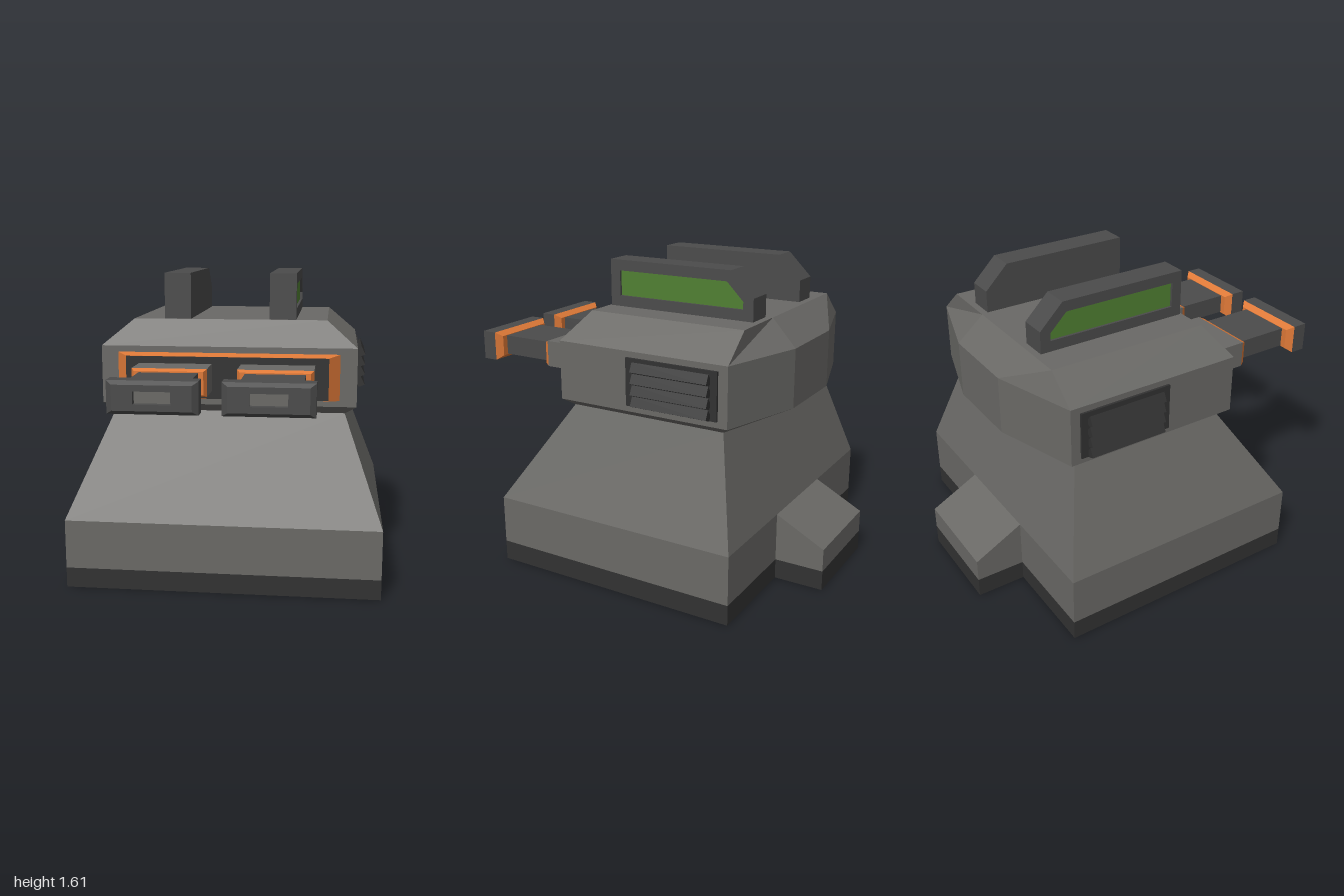
import * as THREE from 'three';

const material = (color) => new THREE.MeshStandardMaterial({ color, flatShading: true, roughness: 0.9 });

// Counter-clockwise rectangle loop
const rect = (x0, x1, y0, y1) => [[x0, y0], [x1, y0], [x1, y1], [x0, y1]];
const centred = (w, h, cx = 0, cy = 0) => rect(cx - w / 2, cx + w / 2, cy - h / 2, cy + h / 2);

// Closed solid through layers [height, loop]; loops lie in XY and stack along +z
function loft(layers) {
  const pos = [];
  const at = (layer, i) => {
    const p = layer[1][i % layer[1].length];
    return [p[0], p[1], layer[0]];
  };
  const n = layers[0][1].length;
  for (let k = 0; k + 1 < layers.length; k++) {
    const a = layers[k], b = layers[k + 1];
    for (let i = 0; i < n; i++) {
      pos.push(...at(a, i), ...at(a, i + 1), ...at(b, i + 1));
      pos.push(...at(a, i), ...at(b, i + 1), ...at(b, i));
    }
  }
  const first = layers[0], last = layers[layers.length - 1];
  for (let i = 1; i + 1 < n; i++) {
    pos.push(...at(first, 0), ...at(first, i + 1), ...at(first, i));
    pos.push(...at(last, 0), ...at(last, i), ...at(last, i + 1));
  }
  const geo = new THREE.BufferGeometry();
  geo.setAttribute('position', new THREE.Float32BufferAttribute(pos, 3));
  geo.computeVertexNormals();
  return geo;
}
const loftUp = (layers) => loft(layers).rotateX(-Math.PI / 2); // loops are (x, -z), stacked along y
const loftSide = (layers) => loft(layers).rotateY(Math.PI / 2); // loops are (-z, y), stacked along x

// Mirror a non-indexed geometry across x = 0, keeping faces outward
function mirrorX(geo) {
  const out = geo.clone().scale(-1, 1, 1);
  const p = out.attributes.position;
  const a = new THREE.Vector3(), b = new THREE.Vector3();
  for (let i = 0; i < p.count; i += 3) {
    a.fromBufferAttribute(p, i + 1);
    b.fromBufferAttribute(p, i + 2);
    p.setXYZ(i + 1, b.x, b.y, b.z);
    p.setXYZ(i + 2, a.x, a.y, a.z);
  }
  out.computeVertexNormals();
  return out;
}

export function createModel() {
  const model = new THREE.Group();
  model.name = 'gunTurret';
  const body = material(0x6a6966);
  const metal = material(0x4b4b4b);
  const dark = material(0x323232);
  const orange = material(0xe07a38);
  const green = material(0x508032);

  const add = (name, geo, mat, parent = model) => {
    const mesh = new THREE.Mesh(geo, mat);
    mesh.name = name;
    parent.add(mesh);
    return mesh;
  };
  const addPair = (name, geo, mat) => {
    add(name + 'Left', geo, mat);
    add(name + 'Right', mirrorX(geo), mat);
  };

  // Pedestal: dark plinth, straight wall, tapered upper part
  const foot = rect(-0.81, 0.81, -0.61, 0.74);
  add('plinth', loftUp([[0, foot], [0.105, foot]]), dark);
  add('pedestal', loftUp([[0.105, foot], [0.36, foot], [0.885, rect(-0.61, 0.61, -0.26, 0.6)]]), body);

  // Rear step with a sloped top
  add('rearStepPlinth', loftUp([[0, rect(-0.27, 0.27, 0.7, 1)], [0.105, rect(-0.27, 0.27, 0.7, 1)]]), dark);
  const step = [[-0.0 + 0.74, 0.105], [1, 0.105], [1, 0.225], [0.74, 0.36]];
  add('rearStep', loftSide([[-0.27, step], [0.27, step]]), body);

  // Head: six-cornered rings with a wedge-shaped back
  const headRing = (w, front, side, backW, back) => [
    [-w, -front], [w, -front], [w, side], [backW, back], [-backW, back], [-w, side],
  ];
  add('head', loftUp([
    [0.885, headRing(0.61, 0.26, 0.6, 0.2, 0.6)],
    [0.925, headRing(0.67, 0.3, 0.65, 0.22, 0.785)],
    [1.23, headRing(0.67, 0.3, 0.65, 0.22, 0.785)],
    [1.365, headRing(0.51, 0.21, 0.65, 0.2, 0.65)],
  ]), body);

  // Gun mount: orange bezel and dark face plate
  add('gunBezel', loft([[0.29, centred(1.18, 0.245, 0, 1.077)], [0.37, centred(1.05, 0.22, 0, 1.077)]]), orange);
  add('gunFacePlate', loft([[0.36, centred(1.05, 0.218, 0, 1.077)], [0.372, centred(1.05, 0.218, 0, 1.077)]]), dark);

  // Twin guns
  for (const side of [1, -1]) {
    const gun = new THREE.Group();
    gun.name = side > 0 ? 'gunLeft' : 'gunRight';
    gun.position.set(side * 0.265, 1.08, 0);
    model.add(gun);
    const sleeve = centred(0.38, 0.14), barrel = centred(0.3, 0.105);
    const muzzle = centred(0.425, 0.156), hole = centred(0.175, 0.06);
    add('sleeve', loft([[0.36, sleeve], [0.55, sleeve]]), body, gun);
    add('sleeveRim', loft([[0.55, sleeve], [0.575, centred(0.35, 0.118)]]), orange, gun);
    add('barrel', loft([[0.55, barrel], [0.89, barrel]]), metal, gun);
    add('muzzleCollar', loft([[0.868, centred(0.365, 0.11)], [0.9, muzzle]]), orange, gun);
    // The last two layers fold inward to form the recessed bore
    add('muzzle', loft([
      [0.9, muzzle], [0.98, muzzle], [1, centred(0.37, 0.12)], [1, hole], [0.955, hole],
    ]), metal, gun);
    add('boreFloor', loft([[0.95, hole], [0.965, hole]]), body, gun);
  }

  // Roof fins with a green panel recessed in each outer face
  const fin = [[-0.2, 1.35], [0.615, 1.35], [0.615, 1.48], [0.49, 1.605], [-0.2, 1.605]];
  const panel = [[-0.145, 1.42], [0.56, 1.42], [0.56, 1.46], [0.47, 1.55], [-0.145, 1.55]];
  addPair('roofFin', loftSide([[0.208, fin], [0.348, fin], [0.348, panel], [0.33, panel]]), metal);
  addPair('finPanel', loftSide([[0.325, panel], [0.335, panel]]), green);

  // Side vents: back plate and four slanted louvres
  const plate = rect(0.1, 0.6, 0.957, 1.2);
  addPair('ventPlate', loftSide([[0.66, plate], [0.682, plate]]), dark);
  for (let i = 0; i < 4; i++) {
    const t = 1.187 - i * 0.057;
    const louvre = [[0.672, t - 0.035], [0.69, t - 0.058], [0.722, t - 0.045], [0.7, t]];
    addPair('ventLouvre' + (i + 1), loft([[-0.565, louvre], [-0.148, louvre]]), dark);
  }

  return model;
}
